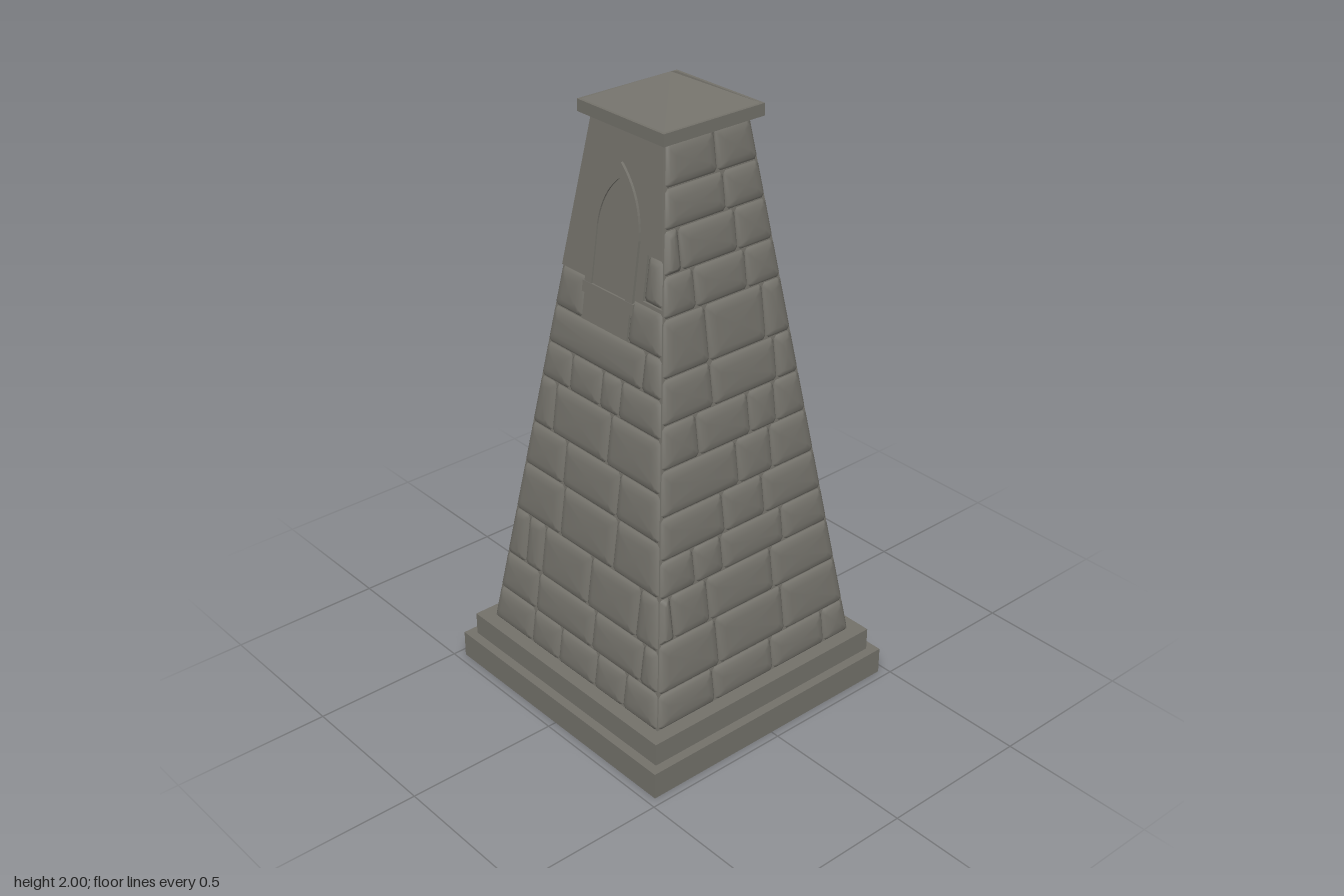
import * as THREE from 'three';
import { mergeGeometries } from 'three/addons/utils/BufferGeometryUtils.js';

const BASE = 0.163, TOP = 1.88, BULGE = 0.014;
// half width of the tapered core at height y
const core = (y) => 0.397 - 0.1418 * (y - BASE);

// square frustum with crisp edges
function frustum(topHalf, bottomHalf, y0, y1) {
  const r = Math.SQRT2;
  let g = new THREE.CylinderGeometry(topHalf * r, bottomHalf * r, y1 - y0, 4);
  g = g.rotateY(Math.PI / 4).translate(0, (y0 + y1) / 2, 0).toNonIndexed();
  g.computeVertexNormals();
  return g;
}

// cushion-shaped stone lying on the sloped front face, trimmed at the wall corners
function stone(u0, u1, y0, y1) {
  const left = (y) => Math.max(u0, -core(y));
  const right = (y) => Math.min(u1, core(y));
  const mid = (y0 + y1) / 2;
  const size = Math.min(right(mid) - left(mid), y1 - y0);
  const rings = [[0.001, -0.002], [0.004, 0.004], [0.012, 0.01], [0.03, BULGE]];
  const pos = [], idx = [];
  for (const [inset, d] of rings) {
    const e = Math.min(inset, size * 0.3), c = Math.min(0.009, size * 0.12);
    const a = y0 + e, b = y1 - e;
    const pts = [[0, c, a], [1, c, a], [1, 0, a + c], [1, 0, b - c], [1, c, b], [0, c, b], [0, 0, b - c], [0, 0, a + c]];
    for (const [side, cut, y] of pts) {
      const u = side ? right(y) - e - cut : left(y) + e + cut;
      pos.push(u, y, core(y) + d);
    }
  }
  pos.push((left(mid) + right(mid)) / 2, mid, core(mid) + BULGE + 0.001);
  for (let k = 0; k < rings.length; k++) {
    for (let i = 0; i < 8; i++) {
      const a = k * 8 + i, b = k * 8 + (i + 1) % 8;
      if (k === rings.length - 1) idx.push(a, b, rings.length * 8);
      else idx.push(a, b, b + 8, a, b + 8, a + 8);
    }
  }
  const g = new THREE.BufferGeometry();
  g.setAttribute('position', new THREE.Float32BufferAttribute(pos, 3));
  g.setIndex(idx);
  g.computeVertexNormals();
  return g;
}

// all the stones of one wall: row heights plus the joints in each row
function wall(levels, joints) {
  const stones = [];
  joints.forEach((row, r) => {
    const limit = core(levels[r + 1]) - 0.035;
    const cuts = [-1, ...row.filter((u) => Math.abs(u) < limit), 1];
    for (let i = 0; i + 1 < cuts.length; i++) {
      stones.push(stone(cuts[i], cuts[i + 1], levels[r], levels[r + 1]));
    }
  });
  return stones;
}

// flat shape extruded, then leaned against the sloped front face
function leaning(shape, d0, d1) {
  const g = new THREE.ExtrudeGeometry(shape, { depth: d1 - d0, bevelEnabled: false, curveSegments: 10 });
  const p = g.attributes.position;
  for (let i = 0; i < p.count; i++) p.setZ(i, p.getZ(i) + d0 + core(p.getY(i)));
  g.computeVertexNormals();
  return g;
}

const polygon = (points) => new THREE.Shape(points.map(([x, y]) => new THREE.Vector2(x, y)));

// pointed arch outline
function arch(half, y0, spring, apex, Type = THREE.Shape) {
  const s = new Type();
  const rise = apex - spring;
  s.moveTo(-half, y0);
  s.lineTo(half, y0);
  s.lineTo(half, spring);
  s.quadraticCurveTo(half * 0.92, spring + rise * 0.62, 0, apex);
  s.quadraticCurveTo(-half * 0.92, spring + rise * 0.62, -half, spring);
  s.lineTo(-half, y0);
  return s;
}

export function createModel() {
  const model = new THREE.Group();
  const stoneMat = new THREE.MeshStandardMaterial({ color: 0x73716a });
  stoneMat.name = 'grey stone';
  const add = (name, g, parent = model) => {
    const mesh = new THREE.Mesh(g, stoneMat);
    mesh.name = name;
    parent.add(mesh);
    return mesh;
  };

  // stepped plinth
  add('lowerPlinth', frustum(0.473, 0.473, 0, 0.088));
  add('upperPlinth', frustum(0.443, 0.443, 0.088, BASE));

  // tapered core showing as mortar
  add('core', frustum(core(TOP), core(BASE), BASE, TOP));

  // front wall, up to the window panel
  const frontLevels = [BASE, 0.28, 0.41, 0.575, 0.74, 0.885, 1.045, 1.16, 1.28];
  const frontJoints = [
    [-0.205, -0.07, 0.105, 0.24], [-0.2, 0.075, 0.3], [-0.27, -0.19, 0.035, 0.26], [-0.12, 0.13],
    [-0.13, 0.12], [-0.2, 0.055], [-0.14, 0.0, 0.085], [0.17],
  ];
  const front = wall(frontLevels, frontJoints);
  front.push(stone(-1, -0.112, 1.28, 1.41), stone(0.092, 1, 1.28, 1.41), stone(0.142, 1, 1.42, 1.555));
  add('frontStones', mergeGeometries(front));

  // side and back walls
  const levels = [BASE, 0.275, 0.43, 0.57, 0.685, 0.815, 0.955, 1.085, 1.22, 1.39, 1.51, 1.635, 1.75, 1.875];
  const joints = [
    [-0.17, 0.07, 0.29], [-0.14, 0.13], [-0.3, -0.16, 0.1, 0.32], [-0.2, -0.09, 0.155], [-0.07, 0.09],
    [0.0, 0.135], [-0.14, 0.06, 0.165], [-0.07, 0.18], [-0.07, 0.15], [-0.1, 0.095],
    [-0.14, 0.07], [0.04], [0.02],
  ];
  const mirrored = joints.map((row) => row.map((u) => -u).reverse());
  const shifted = mirrored.map((row, r) => row.map((u) => u + (r % 2 ? 0.03 : -0.02)));
  add('leftStones', mergeGeometries(wall(levels, joints))).rotation.y = Math.PI / 2;
  add('backStones', mergeGeometries(wall(levels, shifted))).rotation.y = Math.PI;
  add('rightStones', mergeGeometries(wall(levels, mirrored))).rotation.y = -Math.PI / 2;

  // smooth panel, notched around the stones
  const win = new THREE.Group();
  win.name = 'window';
  model.add(win);
  add('panel', leaning(polygon([
    [-0.11, 1.283], [0.09, 1.283], [0.09, 1.41], [core(1.41), 1.41], [core(1.42), 1.42], [0.14, 1.42],
    [0.14, 1.555], [core(1.555), 1.555], [core(TOP), TOP], [-core(TOP), TOP], [-core(1.41), 1.41], [-0.11, 1.41],
  ]), -0.004, 0.006), win);

  // pointed blind window with a slightly raised frame and sill
  add('pane', leaning(arch(0.077, 1.4, 1.58, 1.737), 0, 0.009), win);
  const frame = arch(0.105, 1.4, 1.585, 1.78);
  frame.holes.push(arch(0.075, 1.402, 1.58, 1.735, THREE.Path));
  add('frame', leaning(frame, 0, 0.014), win);
  add('sill', leaning(polygon([[-0.112, 1.368], [0.112, 1.368], [0.112, 1.402], [-0.112, 1.402]]), 0, 0.015), win);

  // cap slab and pyramid roof
  add('capSlab', frustum(0.185, 0.185, 1.878, 1.915));
  add('roof', frustum(0, 0.176, 1.915, 2));
  return model;
}
